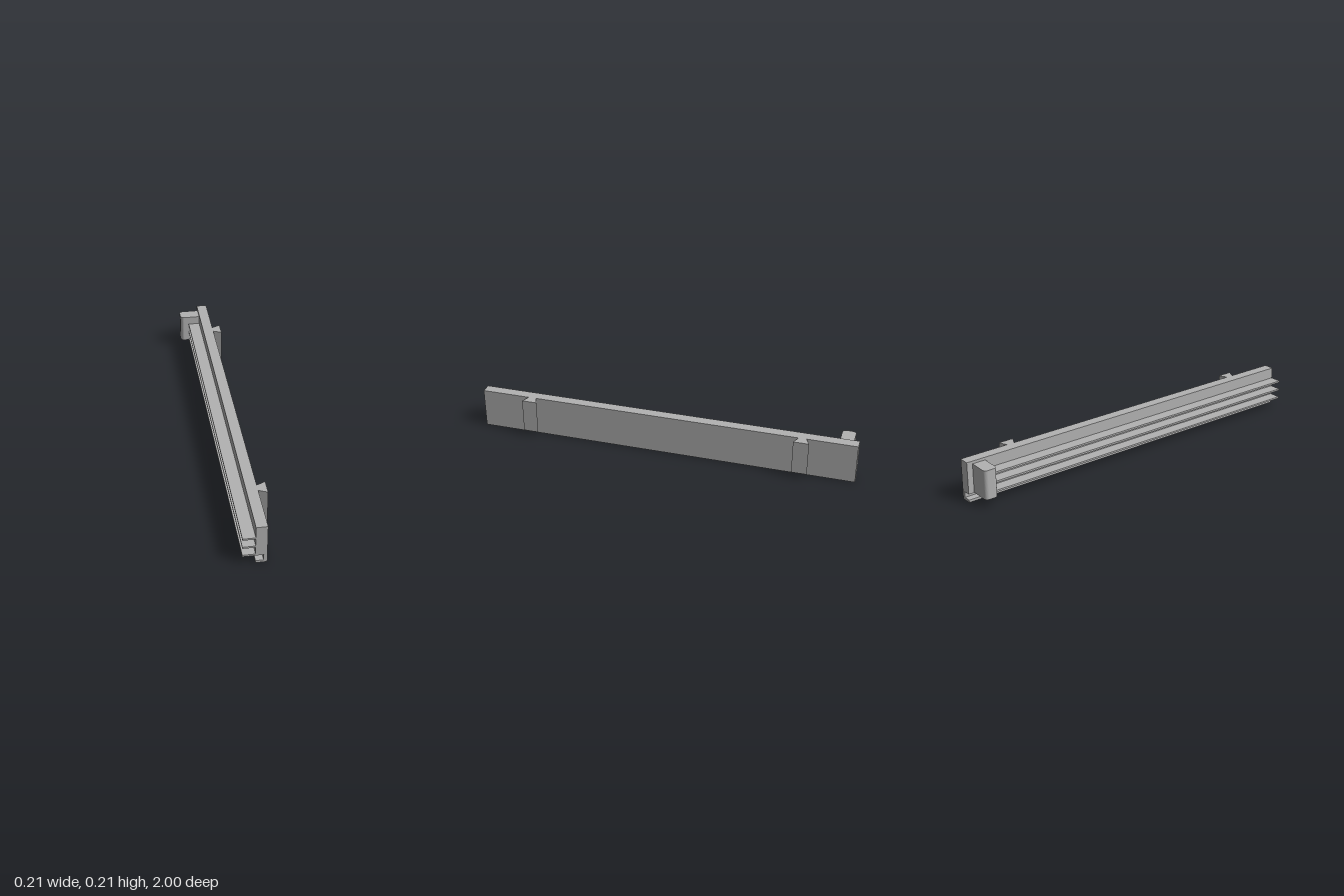
import * as THREE from 'three';

const grey = new THREE.MeshStandardMaterial({ color: 0xb2b2b2 });
grey.name = 'grey';

function part(name, geometry) {
  const mesh = new THREE.Mesh(geometry, grey);
  mesh.name = name;
  return mesh;
}

// Box given by its limits on each axis
function span(name, x0, x1, y0, y1, z0, z1) {
  const g = new THREE.BoxGeometry(x1 - x0, y1 - y0, z1 - z0);
  g.translate((x0 + x1) / 2, (y0 + y1) / 2, (z0 + z1) / 2);
  return part(name, g);
}

// Plan outline in (x, -z), raised from y0 to y1
function upright(name, shape, y0, y1) {
  const g = new THREE.ExtrudeGeometry(shape, { depth: y1 - y0, bevelEnabled: false, curveSegments: 8 });
  g.rotateX(-Math.PI / 2).translate(0, y0, 0);
  return part(name, g);
}

export function createModel() {
  const model = new THREE.Group();
  model.name = 'slottedRail';
  const back = 0.003, face = 0.058;

  // Main bar with a groove along its lower rear edge
  const profile = new THREE.Shape([
    [back, 0], [face, 0], [face, 0.21], [back, 0.21],
    [back, 0.044], [0.041, 0.044], [0.041, 0.013], [back, 0.013],
  ].map(([x, y]) => new THREE.Vector2(x, y)));
  const bar = new THREE.ExtrudeGeometry(profile, { depth: 2, bevelEnabled: false });
  bar.translate(0, 0, -1);
  model.add(part('mainBar', bar));

  // Three long thin fins
  [0.044, 0.0925, 0.141].forEach((y, i) =>
    model.add(span('fin' + (i + 1), -0.058, back, y, y + 0.0095, -0.9, 1)));

  // End block with rounded outer edges
  const x = -0.104, r = 0.02, a = 0.9, b = 0.97;
  const block = new THREE.Shape();
  block.moveTo(back, a);
  block.lineTo(back, b);
  block.lineTo(x + r, b);
  block.absarc(x + r, b - r, r, Math.PI / 2, Math.PI, false);
  block.lineTo(x, a + r);
  block.absarc(x + r, a + r, r, Math.PI, Math.PI * 1.5, false);
  block.closePath();
  model.add(upright('endBlock', block, 0.045, 0.196));

  // Dovetail tabs, wider on the outside
  for (const s of [-1, 1]) {
    const c = -s * 0.722;
    const tab = new THREE.Shape([
      [face, c - 0.02], [0.102, c - 0.04], [0.102, c + 0.04], [face, c + 0.02],
    ].map(([px, py]) => new THREE.Vector2(px, py)));
    model.add(upright(s > 0 ? 'frontDovetail' : 'rearDovetail', tab, 0.03, 0.21));
  }
  return model;
}
